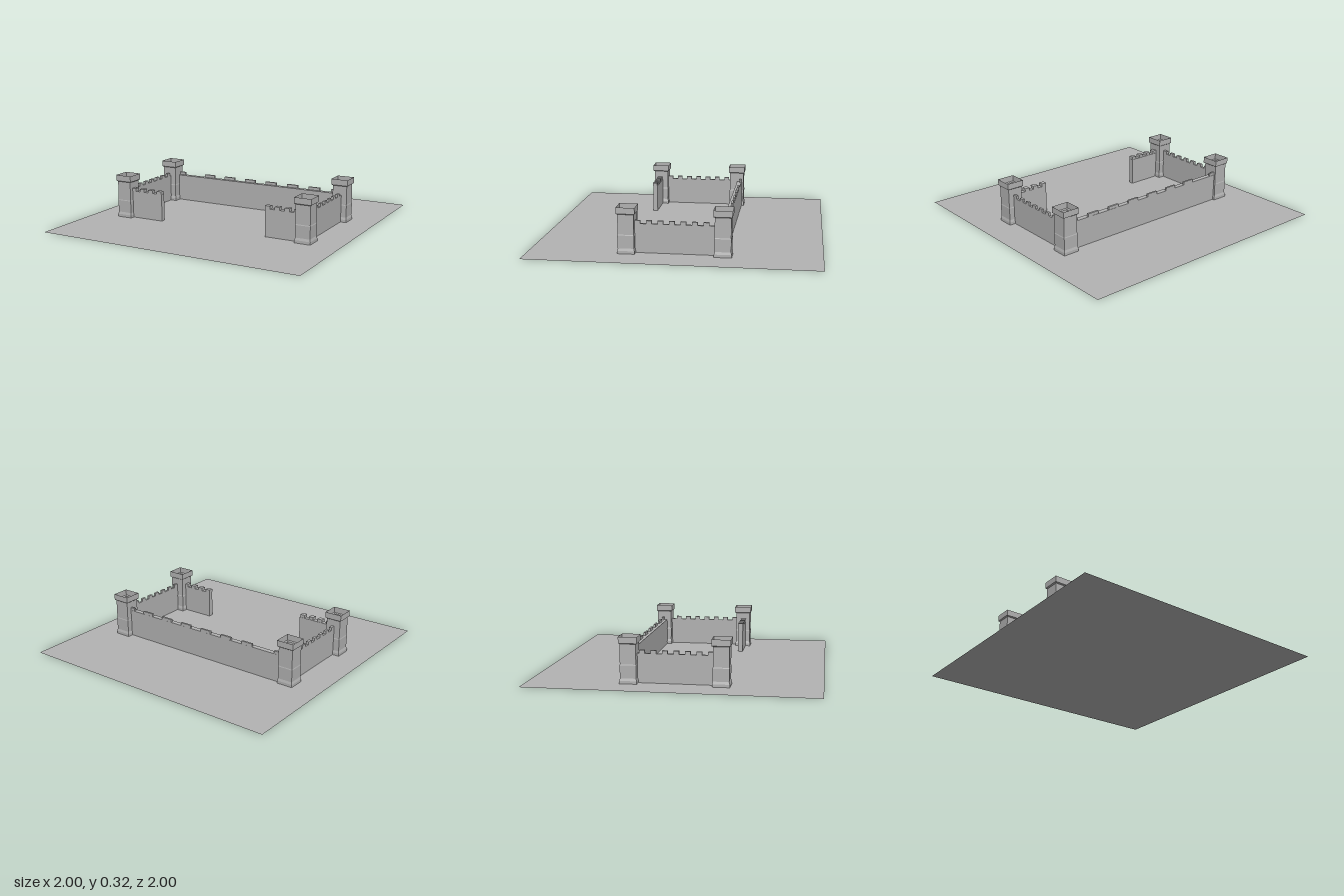
import * as THREE from 'three';

export function createModel() {
  const root = new THREE.Group();
  root.name = 'fort';
  const stone = new THREE.MeshStandardMaterial({ color: 0xb3b3b3, flatShading: true, side: THREE.DoubleSide });
  stone.name = 'grey stone';

  const add = (parent, name, geometry, x, y, z) => {
    const mesh = new THREE.Mesh(geometry, stone);
    mesh.name = name;
    mesh.position.set(x, y, z);
    parent.add(mesh);
    return mesh;
  };

  // Ground sheet
  add(root, 'ground', new THREE.PlaneGeometry(2, 2).rotateX(-Math.PI / 2), 0, 0, 0);

  // Square, hollow corner towers: [half width, height]
  const profile = [
    [0.060, 0], [0.060, 0.02], [0.055, 0.037], [0.057, 0.127], [0.055, 0.133],
    [0.055, 0.272], [0.064, 0.278], [0.064, 0.322],
  ].map(([half, y]) => new THREE.Vector2(half * Math.SQRT2, y));
  const towerGeometry = new THREE.LatheGeometry(profile, 4, Math.PI / 4);
  const towers = {
    backRightTower: [-0.742, -0.305],
    backLeftTower: [0.734, -0.332],
    frontRightTower: [-0.742, 0.324],
    frontLeftTower: [0.734, 0.324],
  };
  for (const [name, [x, z]] of Object.entries(towers)) add(root, name, towerGeometry, x, 0, z);

  // Wall panel spanning a rectangle on the ground, with a row of merlons
  const wallTop = 0.203, merlonHeight = 0.022;
  const wall = (name, x0, x1, z0, z1, merlonSize, merlonSpots) => {
    const group = new THREE.Group();
    group.name = name;
    add(group, 'panel', new THREE.BoxGeometry(x1 - x0, wallTop, z1 - z0),
      (x0 + x1) / 2, wallTop / 2, (z0 + z1) / 2);
    const block = new THREE.BoxGeometry(merlonSize[0], merlonHeight, merlonSize[1]);
    for (const [x, z] of merlonSpots) add(group, 'merlon', block, x, wallTop + merlonHeight / 2, z);
    root.add(group);
  };

  // Back wall, wide merlons along its outer edge
  const backSpots = [-0.685];
  for (let i = 0; i < 7; i++) backSpots.push(-0.41 + i * 0.183);
  wall('backWall', -0.73, 0.75, -0.347, -0.31, [0.09, 0.015], backSpots.map((x) => [x, -0.339]));

  // Thin side walls
  const sideSpots = Array.from({ length: 7 }, (_, i) => 0.25 - i * 0.078);
  wall('rightWall', -0.75, -0.73, -0.29, 0.35, [0.02, 0.038], sideSpots.map((z) => [-0.74, z]));
  wall('leftWall', 0.731, 0.748, -0.34, 0.35, [0.017, 0.038], sideSpots.map((z) => [0.7395, z]));

  // Short front walls either side of the opening
  const frontSpots = [0.45, 0.525, 0.6, 0.672];
  wall('frontRightWall', -0.74, -0.428, 0.312, 0.347, [0.038, 0.036], frontSpots.map((x) => [-x, 0.333]));
  wall('frontLeftWall', 0.432, 0.74, 0.31, 0.347, [0.038, 0.037], frontSpots.map((x) => [x, 0.3285]));

  return root;
}
